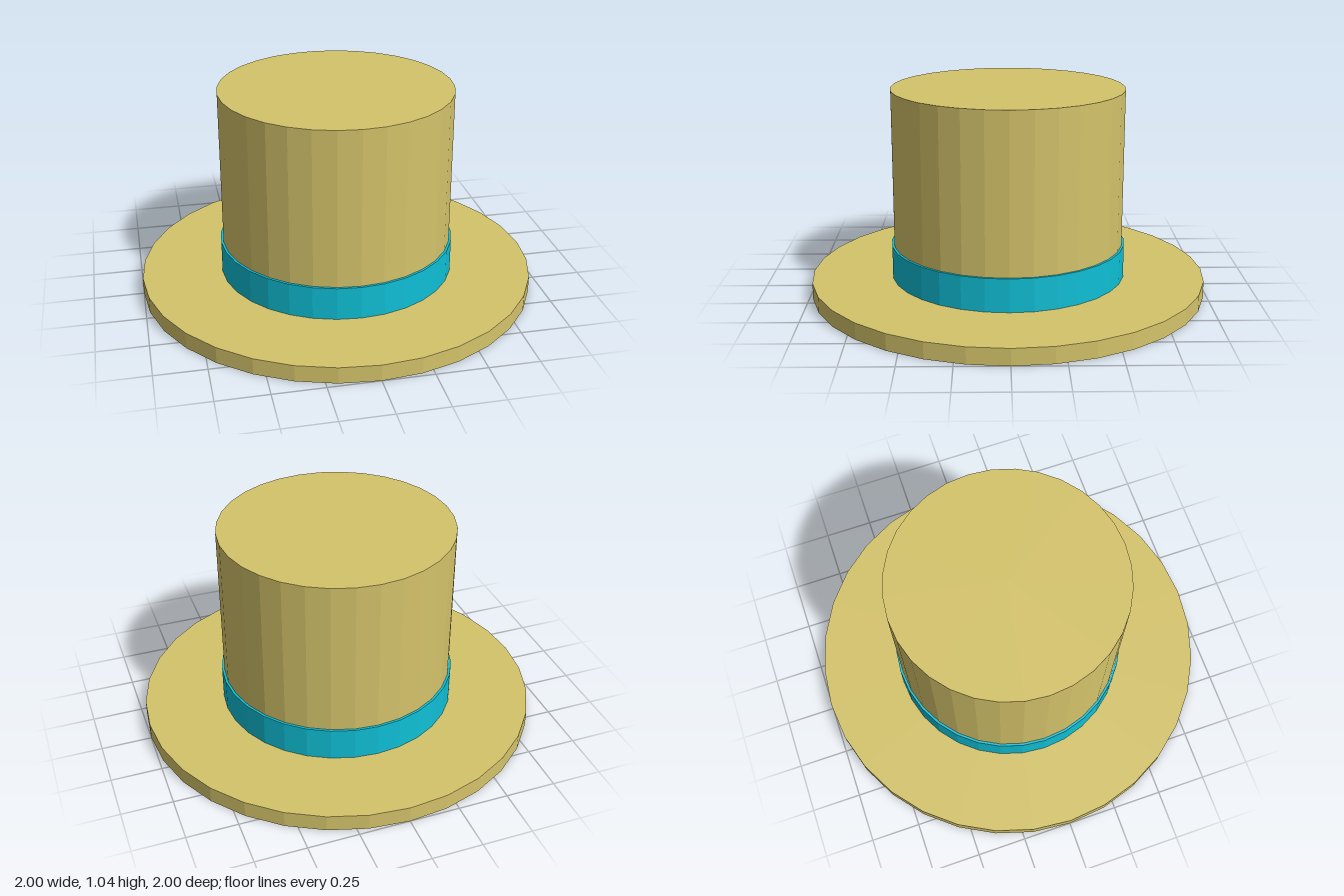
import * as THREE from 'three';

const SIDES = 32;

export function createModel() {
  const hat = new THREE.Group();
  hat.name = 'topHat';

  const straw = new THREE.MeshStandardMaterial({ color: 0xd4c36a });
  straw.name = 'straw';
  const ribbon = new THREE.MeshStandardMaterial({ color: 0x0fbfd6 });
  ribbon.name = 'ribbon';
  straw.flatShading = ribbon.flatShading = true;

  // Upright faceted disc or drum from y = bottom to y = top
  function drum(name, radius, bottom, top, material) {
    const geometry = new THREE.CylinderGeometry(radius, radius, top - bottom, SIDES);
    const mesh = new THREE.Mesh(geometry, material);
    mesh.name = name;
    mesh.position.y = (bottom + top) / 2;
    hat.add(mesh);
  }

  drum('brim', 1, 0, 0.083, straw);
  drum('crown', 0.583, 0.08, 1.042, straw);
  drum('hatBand', 0.595, 0.08, 0.25, ribbon);

  return hat;
}
